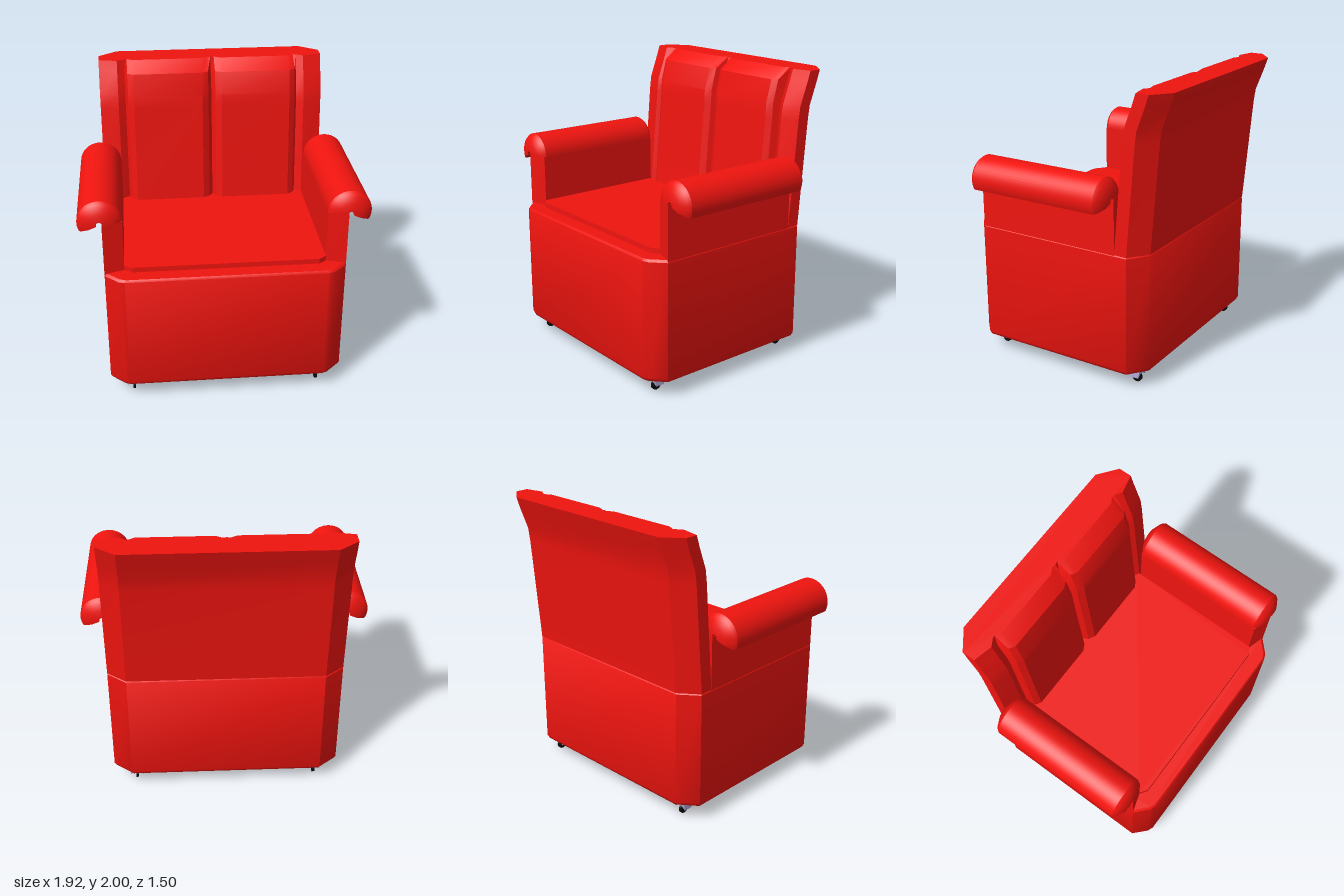
import * as THREE from 'three';
import { toCreasedNormals } from 'three/addons/utils/BufferGeometryUtils.js';

const material = (color) => new THREE.MeshStandardMaterial({ color, side: THREE.DoubleSide });
const red = material(0xf0140f);
const metal = material(0xb4acd8);
const black = material(0x0a0a0a);

// Completes a half outline [x, z] (front to back, x >= 0) by mirroring it.
const mirrored = (half) => [
  ...half,
  ...half.filter(([x]) => x > 0).reverse().map(([x, z]) => [-x, z]),
];

// Joins horizontal outlines {y, pts} into a closed solid.
function loft(rings, crease = 0.6) {
  const n = rings[0].pts.length;
  const position = rings.flatMap(({ y, pts }) => pts.flatMap(([x, z]) => [x, y, z]));
  const index = [];
  for (let r = 0; r < rings.length - 1; r++) {
    for (let j = 0; j < n; j++) {
      const a = r * n + j, b = r * n + (j + 1) % n;
      index.push(a, b, b + n, a, b + n, a + n);
    }
  }
  const cap = ({ pts }) =>
    THREE.ShapeUtils.triangulateShape(pts.map(([x, z]) => new THREE.Vector2(x, -z)), []);
  const top = (rings.length - 1) * n;
  cap(rings[0]).forEach(([a, b, c]) => index.push(a, c, b));
  cap(rings[rings.length - 1]).forEach(([a, b, c]) => index.push(top + a, top + b, top + c));
  const g = new THREE.BufferGeometry();
  g.setAttribute('position', new THREE.Float32BufferAttribute(position, 3));
  g.setIndex(index);
  return toCreasedNormals(g, crease);
}

export function createModel() {
  const model = new THREE.Group();
  model.name = 'armchair';
  const add = (name, geometry, mat = red, parent = model) => {
    const mesh = new THREE.Mesh(geometry, mat);
    mesh.name = name;
    parent.add(mesh);
    return mesh;
  };

  // Base with chamfered corners, rounded lower edge and a recessed underside
  const basePlan = mirrored([[0.67, 0.75], [0.71, 0.735], [0.8, 0.65], [0.8, -0.49], [0.67, -0.59]]);
  const inset = (s) => basePlan.map(([x, z]) => [x * s, (z - 0.08) * s + 0.08]);
  add('base', loft([
    { y: 0.14, pts: inset(0.8) },
    { y: 0.1, pts: inset(0.8) },
    { y: 0.1, pts: inset(0.955) },
    { y: 0.115, pts: inset(0.985) },
    { y: 0.14, pts: basePlan },
    { y: 0.935, pts: basePlan },
    { y: 0.95, pts: inset(0.985) },
  ]));
  const slat = add('undersideSlat', new THREE.BoxGeometry(0.02, 0.03, 0.95));
  slat.position.set(-0.05, 0.13, 0.08);

  // Seat
  const seatPlan = mirrored([[0.62, 0.645], [0.67, 0.61], [0.67, -0.4]]);
  add('seat', loft([{ y: 0.94, pts: seatPlan }, { y: 0.985, pts: seatPlan }]));

  // Backrest: one plan shifted backwards with height, twin cushions in front
  const backHalf = [[0, -0.4], [0.025, -0.355], [0.07, -0.33], [0.56, -0.33], [0.6, -0.355],
    [0.62, -0.4], [0.67, -0.37], [0.8, -0.4], [0.8, -0.49], [0.67, -0.59]];
  const backLevels = [[0.945, 0, 0], [1.68, -0.06, 0], [1.77, -0.072, 0.008],
    [1.925, -0.13, 0.025], [2, -0.155, -0.05]]; // height, shift, cushion swell
  add('backrest', loft(backLevels.map(([y, shift, swell]) => ({
    y,
    pts: mirrored(backHalf.map(([x, z], i) => [x, z + shift + (i > 0 && i < 5 ? swell : 0)])),
  })), 0.5));

  // Armrests: upright wall with a rolled top that hooks outwards
  const roll = [[0.02, -0.4], [0.075, -0.395], [0.13, -0.365], [0.145, -0.345],
    [0.145, 0.595], [0.13, 0.615], [0.075, 0.645], [0.02, 0.65]].map((p) => new THREE.Vector2(...p));
  const droop = THREE.MathUtils.degToRad(25);
  for (const side of [1, -1]) {
    const arm = new THREE.Group();
    arm.name = side > 0 ? 'leftArm' : 'rightArm';
    model.add(arm);

    const wall = [[0.67, 0.61], [0.8, 0.65], [0.8, -0.4], [0.67, -0.36]].map(([x, z]) => [x * side, z]);
    if (side < 0) wall.reverse();
    add('armWall', loft([{ y: 0.94, pts: wall }, { y: 1.31, pts: wall }]), red, arm);

    const start = side > 0 ? Math.PI / 2 - droop : Math.PI / 2;
    const rollGeometry = new THREE.LatheGeometry([...roll, roll[0]], 28, start, Math.PI + droop);
    rollGeometry.rotateX(Math.PI / 2);
    add('armRoll', toCreasedNormals(rollGeometry, 0.5), red, arm).position.set(0.815 * side, 1.31, 0);

    const end = new THREE.ShapeGeometry(new THREE.Shape(roll));
    end.rotateX(Math.PI / 2).rotateZ(side > 0 ? -droop : Math.PI + droop);
    add('armRollEnd', end, red, arm).position.set(0.815 * side, 1.31, 0);
  }

  // Casters: notched housing tapering downwards around a thin wheel
  const housing = new THREE.ExtrudeGeometry(new THREE.Shape([
    [-0.045, 0.11], [-0.045, 0.045], [-0.018, 0.072], [0.018, 0.072], [0.045, 0.045], [0.045, 0.11],
  ].map((p) => new THREE.Vector2(...p))), { depth: 0.09, bevelEnabled: false });
  housing.translate(0, 0, -0.045);
  const pos = housing.attributes.position;
  for (let i = 0; i < pos.count; i++) {
    pos.setZ(i, pos.getZ(i) * (0.7 + 0.3 * (pos.getY(i) - 0.045) / 0.065));
  }
  housing.computeVertexNormals();
  const wheel = new THREE.CylinderGeometry(0.035, 0.035, 0.018, 20).rotateZ(Math.PI / 2);
  for (const x of [-0.64, 0.64]) {
    for (const z of [0.625, -0.48]) {
      const caster = new THREE.Group();
      caster.name = 'caster';
      caster.position.set(x, 0, z);
      add('casterHousing', housing, metal, caster);
      add('casterWheel', wheel, black, caster).position.y = 0.035;
      model.add(caster);
    }
  }
  return model;
}
